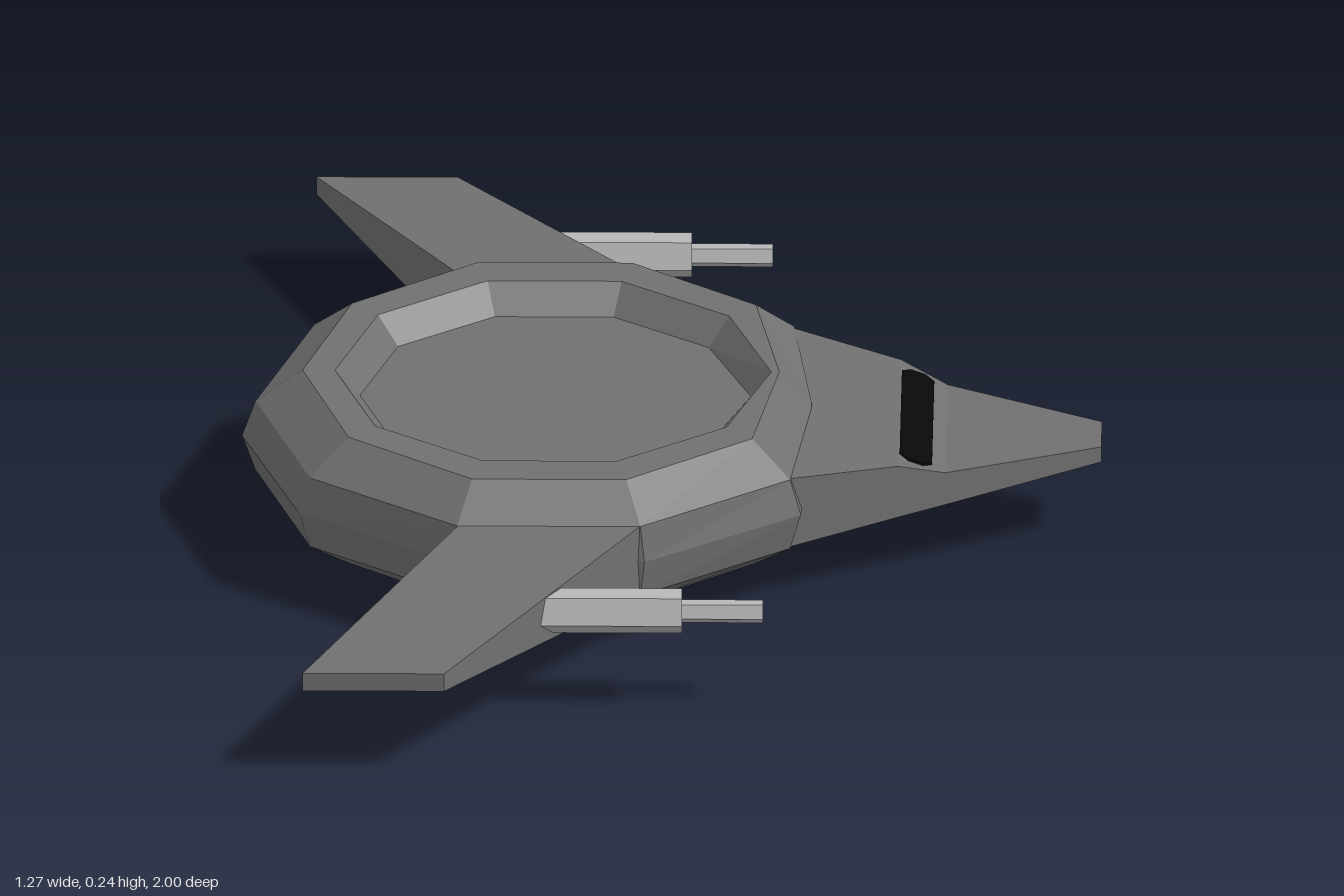
import * as THREE from 'three';

const hullGrey = new THREE.MeshStandardMaterial({ color: 0x707070, flatShading: true, name: 'hullGrey' });
const gunGrey = new THREE.MeshStandardMaterial({ color: 0xb8b8b8, flatShading: true, name: 'gunGrey' });
const windowBlack = new THREE.MeshStandardMaterial({ color: 0x080808, flatShading: true, name: 'windowBlack' });

// Skins equal-length rings of [x, y, z] points and closes both ends.
// Rings run clockwise when looking back along the loft direction.
function loft(name, rings, material) {
  const pos = [];
  const tri = (a, b, c) => pos.push(...a, ...b, ...c);
  const n = rings[0].length;
  const centre = ring => [0, 1, 2].map(k => ring.reduce((s, p) => s + p[k], 0) / n);
  const first = rings[0], last = rings[rings.length - 1];
  const c0 = centre(first), c1 = centre(last);
  for (let j = 0; j < n; j++) {
    const k = (j + 1) % n;
    for (let i = 0; i < rings.length - 1; i++) {
      const a = rings[i], b = rings[i + 1];
      tri(a[j], b[j], a[k]);
      tri(b[j], b[k], a[k]);
    }
    tri(c0, first[j], first[k]);
    tri(c1, last[k], last[j]);
  }
  const geometry = new THREE.BufferGeometry();
  geometry.setAttribute('position', new THREE.Float32BufferAttribute(pos, 3));
  geometry.computeVertexNormals();
  const mesh = new THREE.Mesh(geometry, material);
  mesh.name = name;
  return mesh;
}

// Ten-sided saucer with a recessed top; the front corner is pulled in.
function makeHull() {
  const cx = -0.18;
  // y, x radius, z radius, x of the front corner
  const profile = [
    [0, 0.14, 0.15, -0.04],
    [0.015, 0.28, 0.32, 0.1],
    [0.04, 0.37, 0.455, 0.19],
    [0.08, 0.44, 0.515, 0.2],
    [0.135, 0.46, 0.52, 0.205],
    [0.19, 0.44, 0.515, 0.205],
    [0.24, 0.37, 0.45, 0.157],
    [0.24, 0.322, 0.373, 0.145],
    [0.2, 0.285, 0.328, 0.115],
  ];
  const rings = profile.map(([y, rx, rz, front]) =>
    Array.from({ length: 10 }, (_, i) => {
      const a = (i * Math.PI) / 5;
      return [i === 0 ? front : cx + rx * Math.cos(a), y, rz * Math.sin(a)];
    }));
  return loft('saucerHull', rings, hullGrey);
}

// Tapered nose with a sloped windscreen facet
function makeNose() {
  // x, bottom, top, half width
  const sections = [
    [0.17, 0.08, 0.19, 0.3],
    [0.335, 0.0935, 0.175, 0.211],
    [0.405, 0.099, 0.15, 0.174],
    [0.635, 0.118, 0.142, 0.05],
  ];
  return loft('nose', sections.map(([x, lo, hi, w]) =>
    [[x, lo, w], [x, hi, w], [x, hi, -w], [x, lo, -w]]), hullGrey);
}

// Thin dark plate lying on the windscreen facet
function makeWindow() {
  const half = [[0.385, 0.16], [0.372, 0.176], [0.35, 0.176], [0.337, 0.16]];
  const outline = [...half, ...half.map(([x, z]) => [x, -z]).reverse()];
  const layer = lift => outline.map(([x, z]) => [x, 0.175 - 0.357 * (x - 0.335) + lift, z]);
  return loft('windscreen', [layer(-0.002), layer(0.004)], windowBlack);
}

// Swept wing; the tip heights differ slightly from side to side
function makeWing(side, tipLow, tipHigh) {
  // z, trailing x, leading x, bottom, top
  const sections = [
    [0.44, -0.31, -0.05, 0.08, 0.19],
    [0.49, -0.315, -0.045, 0.08, 0.19],
    [1, -0.54, -0.33, tipLow, tipHigh],
  ];
  const rings = sections.map(([z, back, front, lo, hi]) => {
    const ring = [[back, hi], [front, hi], [front, lo], [back, lo]].map(([x, y]) => [x, y, side * z]);
    return side > 0 ? ring : ring.reverse();
  });
  return loft(side > 0 ? 'leftWing' : 'rightWing', rings, hullGrey);
}

// Five-sided gun: thick body and thin muzzle along x
function makeGun(name, y, z) {
  const gun = new THREE.Group();
  gun.name = name;
  for (const [part, r, x0, x1] of [['gunBody', 0.035, -0.19, 0.02], ['gunMuzzle', 0.018, 0.01, 0.14]]) {
    const geometry = new THREE.CylinderGeometry(r, r, x1 - x0, 5);
    geometry.rotateY(Math.PI / 2).rotateZ(-Math.PI / 2).translate((x0 + x1) / 2, 0, 0);
    const mesh = new THREE.Mesh(geometry, gunGrey);
    mesh.name = part;
    gun.add(mesh);
  }
  gun.position.set(0, y, z);
  return gun;
}

export function createModel() {
  const model = new THREE.Group();
  model.name = 'saucerCraft';
  model.add(
    makeHull(), makeNose(), makeWindow(),
    makeWing(1, 0.132, 0.16), makeWing(-1, 0.116, 0.144),
    makeGun('leftGun', 0.146, 0.715), makeGun('rightGun', 0.136, -0.715),
  );
  return model;
}
